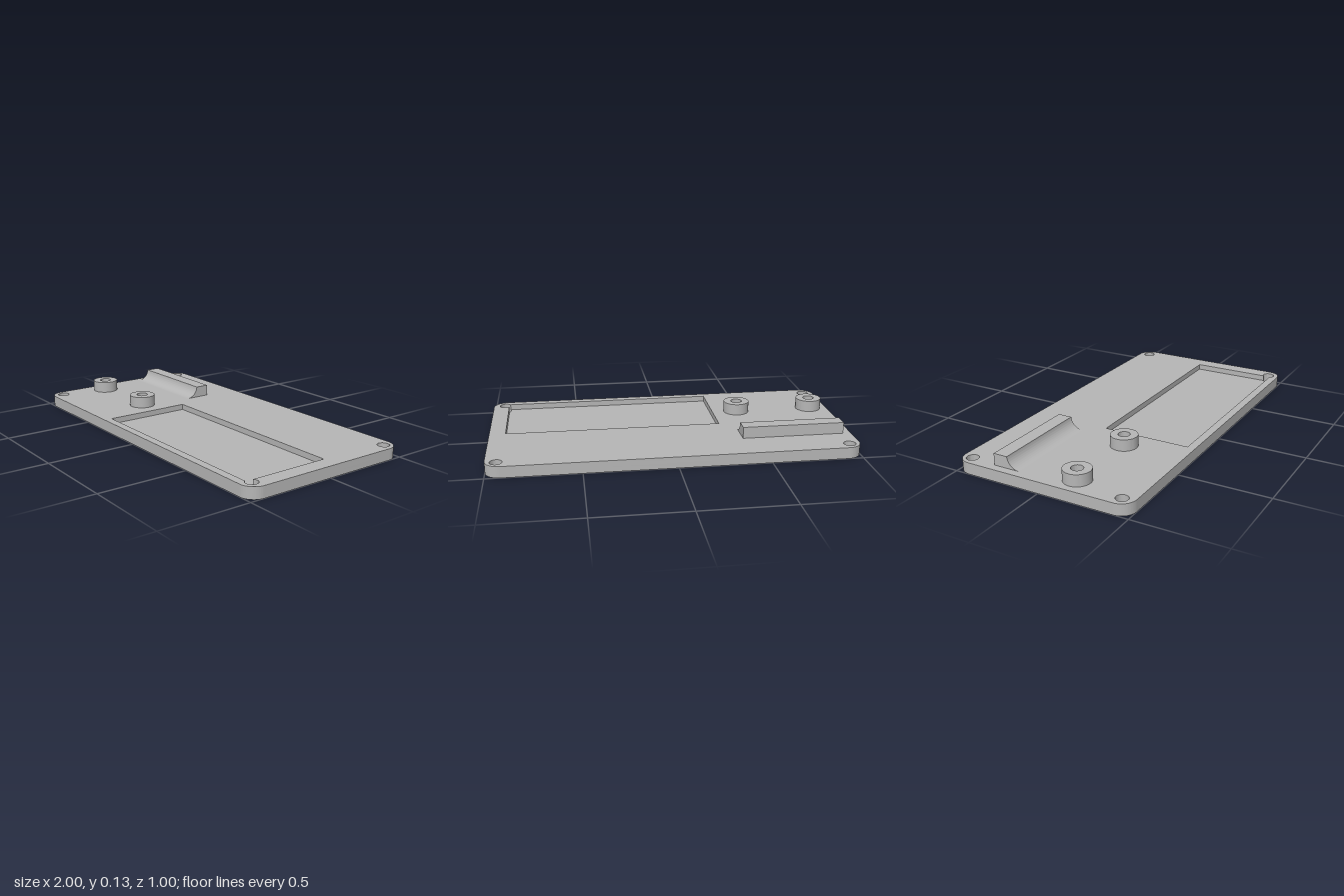
import * as THREE from 'three';
import { toCreasedNormals } from 'three/addons/utils/BufferGeometryUtils.js';

const BASE = 0.031, TOP = 0.063, FEATURE = 0.127;

// Extrude a plan shape (shape y = -z) upwards between two heights
function slab(shape, y0, y1) {
  const g = new THREE.ExtrudeGeometry(shape, { depth: y1 - y0, bevelEnabled: false, curveSegments: 24 });
  g.rotateX(-Math.PI / 2);
  g.translate(0, y0, 0);
  return toCreasedNormals(g, 0.6);
}

function circlePath(x, z, r) {
  const p = new THREE.Path();
  p.absarc(x, -z, r, 0, Math.PI * 2, true);
  return p;
}

// Rounded rectangular outline of the plate
function plateShape() {
  const s = new THREE.Shape(), w = 1, h = 0.5, r = 0.08;
  s.absarc(w - r, h - r, r, 0, Math.PI / 2);
  s.absarc(-w + r, h - r, r, Math.PI / 2, Math.PI);
  s.absarc(-w + r, -h + r, r, Math.PI, Math.PI * 1.5);
  s.absarc(w - r, -h + r, r, Math.PI * 1.5, Math.PI * 2);
  s.closePath();
  return s;
}

export function createModel() {
  const model = new THREE.Group();
  const grey = new THREE.MeshStandardMaterial({ color: 0xb6b6b6 });
  grey.name = 'grey';
  const add = (name, geometry) => {
    const m = new THREE.Mesh(geometry, grey);
    m.name = name;
    model.add(m);
    return m;
  };

  const holeR = 0.033;
  const freeHoles = [[-0.94, -0.44], [0.94, -0.44], [-0.94, 0.433]];
  const cutHole = [0.932, 0.438]; // this hole breaks into the pocket corner

  // Lower layer: pocket floor and four screw holes
  const lower = plateShape();
  for (const [x, z] of [...freeHoles, cutHole]) lower.holes.push(circlePath(x, z, holeR));
  add('plateBase', slab(lower, 0, BASE));

  // Upper layer: pocket outline merged with the fourth screw hole
  const upper = plateShape();
  for (const [x, z] of freeHoles) upper.holes.push(circlePath(x, z, holeR));
  const [left, right, back, front] = [-0.30, 0.91, 0.04, -0.455];
  const [cx, cy] = [cutHole[0], -cutHole[1]];
  const dy = Math.sqrt(holeR ** 2 - (right - cx) ** 2);
  const dx = Math.sqrt(holeR ** 2 - (front - cy) ** 2);
  const pocket = new THREE.Path();
  pocket.moveTo(left, back);
  pocket.lineTo(right, back);
  pocket.lineTo(right, cy + dy);
  pocket.absarc(cx, cy, holeR, Math.atan2(dy, right - cx), Math.atan2(front - cy, -dx), true);
  pocket.lineTo(left, front);
  pocket.closePath();
  upper.holes.push(pocket);
  add('plateRim', slab(upper, BASE, TOP));

  // Two hollow round bosses
  for (const [name, x] of [['rightBoss', -0.888], ['leftBoss', -0.443]]) {
    const ring = new THREE.Shape();
    ring.absarc(x, -0.157, 0.074, 0, Math.PI * 2);
    ring.holes.push(circlePath(x, 0.157, 0.032));
    add(name, slab(ring, TOP, FEATURE));
  }

  // Ridge with a concave front, profile drawn as (-z, y) and swept along x
  const r = 0.0703, ax = 0.14, ay = TOP + r;
  const profile = new THREE.Shape();
  profile.moveTo(0.29, TOP);
  profile.lineTo(0.29, FEATURE);
  profile.lineTo(0.21, FEATURE);
  profile.absarc(ax, ay, r, Math.atan2(FEATURE - ay, 0.07), -Math.PI / 2, true);
  profile.closePath();
  const ridge = new THREE.ExtrudeGeometry(profile, { depth: 0.57, bevelEnabled: false, curveSegments: 24 });
  ridge.rotateY(Math.PI / 2);
  ridge.translate(-0.955, 0, 0);
  add('ridge', toCreasedNormals(ridge, 0.6));

  return model;
}
